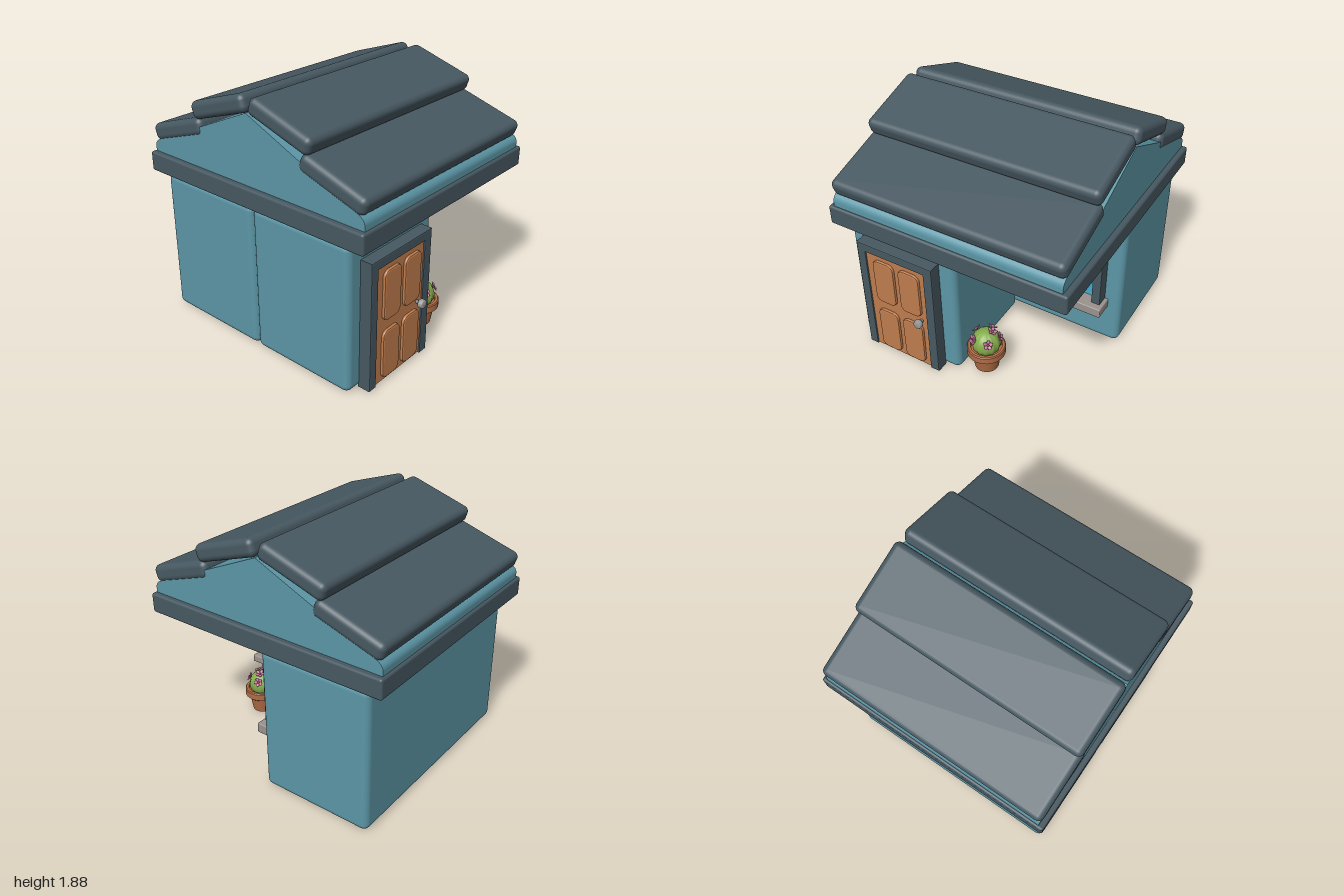
import * as THREE from 'three';
import { RoundedBoxGeometry } from 'three/addons/geometries/RoundedBoxGeometry.js';

const material = (name, color) => {
  const m = new THREE.MeshStandardMaterial({ color });
  m.name = name;
  return m;
};

export function createModel() {
  const teal = material('teal wall', 0x5c96a6);
  const slate = material('slate trim', 0x475861);
  const wood = material('door wood', 0xbf7c4d);
  const glass = material('window glass', 0x41abd0);
  const stone = material('sill stone', 0x9a928d);
  const metal = material('knob metal', 0x9b9b9b);
  const clay = material('clay', 0xb06c45);
  const green = material('cactus green', 0x84ac4c);
  const pink = material('petal pink', 0xd079a2);
  const plum = material('flower centre', 0x8a3f63);

  const house = new THREE.Group();
  house.name = 'house';

  const add = (name, geometry, mat, parent = house) => {
    const mesh = new THREE.Mesh(geometry, mat);
    mesh.name = name;
    parent.add(mesh);
    return mesh;
  };

  // Rounded box given by its low and high corners
  const block = (name, lo, hi, radius, mat) => {
    const size = lo.map((v, i) => hi[i] - v);
    const mesh = add(name, new RoundedBoxGeometry(...size, 4, radius), mat);
    mesh.position.set(...lo.map((v, i) => (v + hi[i]) / 2));
    return mesh;
  };

  const polygon = (points) => new THREE.Shape(points.map(([x, y]) => new THREE.Vector2(x, y)));

  // Outline pushed forward from z0 to z1 with a small bevel inside the outline
  const plate = (name, shape, z0, z1, bevel, mat) => {
    const geometry = new THREE.ExtrudeGeometry(shape, {
      depth: z1 - z0 - bevel, bevelEnabled: bevel > 0, bevelThickness: bevel,
      bevelSize: bevel, bevelOffset: -bevel, bevelSegments: 2, curveSegments: 8,
    });
    return add(name, geometry.translate(0, 0, z0), mat);
  };

  // Walls: full-width rear block and half-width front block
  block('rearRoom', [-0.89, 0, -0.88], [0.89, 1.115, 0.005], 0.05, teal);
  block('frontRoom', [-0.89, 0, 0.005], [0, 1.115, 0.855], 0.05, teal);
  block('eaveSlab', [-0.93, 1.115, -1], [0.93, 1.265, 1], 0.018, slate);

  // Gable body with softened shoulders
  const gable = new THREE.Shape();
  gable.moveTo(-0.98, 1.25);
  gable.lineTo(0.98, 1.25);
  gable.lineTo(0.98, 1.3);
  gable.quadraticCurveTo(0.98, 1.342, 0.93, 1.364);
  gable.lineTo(0, 1.775);
  gable.lineTo(-0.93, 1.364);
  gable.quadraticCurveTo(-0.98, 1.342, -0.98, 1.3);
  const gableBody = new THREE.ExtrudeGeometry(gable, { depth: 1.78, bevelEnabled: false });
  add('gable', gableBody.translate(0, 0, -0.89).rotateY(Math.PI / 2), teal);

  // Two overlapping roof slabs on each slope
  for (const side of [1, -1]) {
    for (const [name, y, z] of [['lowerRoofSlab', 1.487, 0.716], ['upperRoofSlab', 1.749, 0.281]]) {
      const slab = add(name, new RoundedBoxGeometry(1.8, 0.13, 0.55, 5, 0.045), slate);
      slab.position.set(0, y, side * z);
      slab.rotation.x = side * 0.315;
    }
  }

  // Door with frame, four raised panels and knob
  const doorFrame = polygon([[-0.77, 0], [-0.7, 0], [-0.7, 0.91], [-0.2, 0.91],
    [-0.2, 0], [-0.125, 0], [-0.125, 0.98], [-0.77, 0.98]]);
  plate('doorFrame', doorFrame, 0.85, 0.947, 0.008, slate);
  block('door', [-0.705, 0.005, 0.85], [-0.195, 0.915, 0.935], 0.005, wood);
  for (const x of [-0.64, -0.42]) {
    for (const y of [0.03, 0.49]) {
      const w = 0.18, h = 0.38, r = 0.05;
      const panel = new THREE.Shape();
      panel.absarc(x + r, y + r, r, Math.PI, Math.PI * 1.5);
      panel.absarc(x + w - r, y + r, r, Math.PI * 1.5, Math.PI * 2);
      panel.absarc(x + w - r, y + h - r, r, 0, Math.PI / 2);
      panel.absarc(x + r, y + h - r, r, Math.PI / 2, Math.PI);
      plate('doorPanel', panel, 0.93, 0.956, 0.012, wood);
    }
  }
  const knobProfile = [[0, 0.93], [0.014, 0.93], [0.014, 0.96], [0.028, 0.961], [0.033, 0.967],
    [0.033, 0.993], [0.027, 1], [0, 1]].map(([r, h]) => new THREE.Vector2(r, h));
  const knob = add('doorKnob', new THREE.LatheGeometry(knobProfile, 20).rotateX(Math.PI / 2), metal);
  knob.position.set(-0.25, 0.455, 0);

  // Window with frame, lintel and sill
  const windowFrame = polygon([[0.12, 0.35], [0.765, 0.35], [0.765, 0.935], [0.12, 0.935]]);
  windowFrame.holes.push(polygon([[0.195, 0.38], [0.195, 0.86], [0.695, 0.86], [0.695, 0.38]]));
  plate('windowFrame', windowFrame, 0, 0.1, 0.006, slate);
  block('windowGlass', [0.19, 0.37, 0.002], [0.7, 0.87, 0.03], 0.003, glass);
  block('windowLintel', [0.095, 0.932, 0], [0.793, 0.982, 0.155], 0.008, stone);
  block('windowSill', [0.095, 0.335, 0], [0.793, 0.412, 0.155], 0.008, stone);

  // Potted cactus beside the door
  const plant = new THREE.Group();
  plant.name = 'pottedCactus';
  plant.position.set(0.14, 0, 0.695);
  house.add(plant);
  const potProfile = [[0, 0], [0.09, 0], [0.112, 0.136], [0.138, 0.136], [0.145, 0.143],
    [0.145, 0.194], [0.138, 0.202], [0.118, 0.202], [0.114, 0.18], [0, 0.18]];
  // Each straight run is its own lathe, so the rims stay crisp
  for (let i = 0; i < potProfile.length - 1; i++) {
    const run = [potProfile[i], potProfile[i + 1]].map(([r, y]) => new THREE.Vector2(r, y));
    add('pot', new THREE.LatheGeometry(run, 32), clay, plant);
  }

  // Ribbed cactus ball
  const ball = new THREE.SphereGeometry(0.108, 48, 20);
  const p = ball.attributes.position;
  for (let i = 0; i < p.count; i++) {
    const rib = 1 + 0.035 * Math.cos(12 * Math.atan2(p.getZ(i), p.getX(i)));
    p.setXYZ(i, p.getX(i) * rib, p.getY(i), p.getZ(i) * rib);
  }
  ball.computeVertexNormals();
  add('cactus', ball, green, plant).position.y = 0.235;

  // Five-petal flowers around the crown
  const petal = new THREE.SphereGeometry(1, 10, 6).scale(0.014, 0.018, 0.005);
  const centre = new THREE.SphereGeometry(0.01, 10, 8);
  const addFlower = (azimuth, elevation) => {
    const flower = new THREE.Group();
    flower.name = 'flower';
    const out = new THREE.Vector3(Math.cos(elevation) * Math.sin(azimuth), Math.sin(elevation),
      Math.cos(elevation) * Math.cos(azimuth));
    flower.position.copy(out).multiplyScalar(0.114).add(new THREE.Vector3(0, 0.235, 0));
    flower.quaternion.setFromUnitVectors(new THREE.Vector3(0, 0, 1), out);
    for (let k = 0; k < 5; k++) {
      const a = (k / 5) * Math.PI * 2;
      const leaf = add('petal', petal, pink, flower);
      leaf.position.set(-Math.sin(a) * 0.021, Math.cos(a) * 0.021, 0.006);
      leaf.rotation.set(0.35, 0, a, 'ZXY');
    }
    add('flowerCentre', centre, plum, flower).position.z = 0.004;
    plant.add(flower);
  };
  for (let k = 0; k < 5; k++) addFlower(0.7 + (k / 5) * Math.PI * 2, 0.52);
  addFlower(-0.7, 0.5);
  addFlower(1.9, 1.15);
  return house;
}
